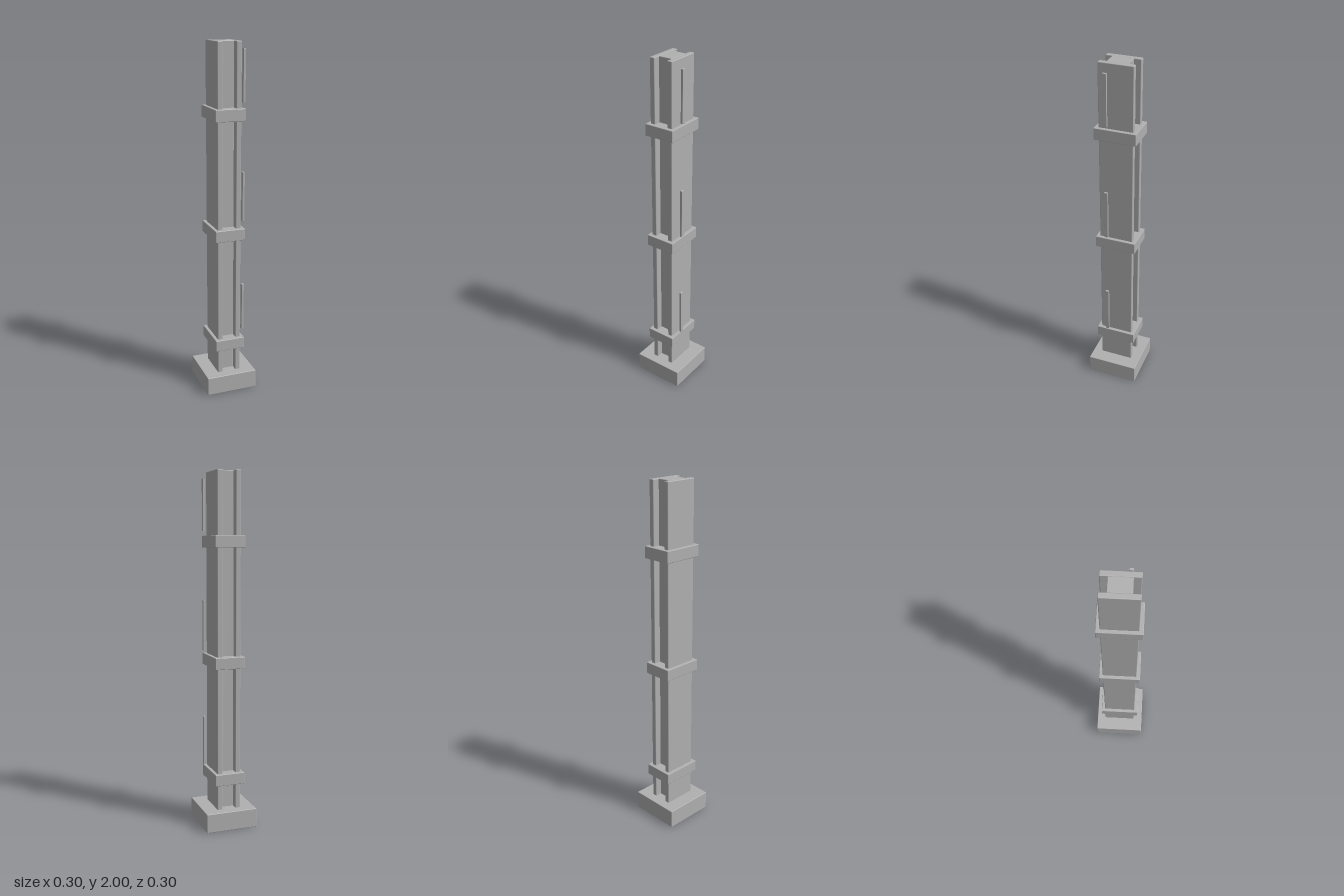
import * as THREE from 'three';
import { RoundedBoxGeometry } from 'three/addons/geometries/RoundedBoxGeometry.js';

export function createModel() {
  const group = new THREE.Group();
  group.name = 'column';
  const steel = new THREE.MeshStandardMaterial({ color: 0xb0b0b0 });
  steel.name = 'grey steel';

  // Box with slightly eased edges, placed by its centre
  const addBlock = (name, w, h, d, x, y, z, bevel = 0.003) => {
    const mesh = new THREE.Mesh(new RoundedBoxGeometry(w, h, d, 2, bevel), steel);
    mesh.name = name;
    mesh.position.set(x, y, z);
    group.add(mesh);
  };

  // Square footing
  addBlock('base', 0.298, 0.108, 0.298, 0, 0.054, 0);

  // H-shaped shaft: thick core between two wide flanges
  const bottom = 0.09, top = 2;
  const height = top - bottom, middle = (top + bottom) / 2;
  addBlock('core', 0.08, height, 0.115, 0, middle, 0);
  for (const side of [-1, 1]) {
    addBlock(side > 0 ? 'leftFlange' : 'rightFlange', 0.029, height, 0.191, side * 0.0535, middle, 0, 0.004);
  }

  // Three evenly spaced collars, each with a thin rod above it on the left side
  for (let i = 0; i < 3; i++) {
    const y = 0.287 + i * 0.6665;
    addBlock('collar' + (i + 1), 0.173, 0.066, 0.233, 0, y, 0);
    addBlock('sideRod' + (i + 1), 0.0125, 0.283, 0.021, 0.1, y + 0.198, 0.045, 0.001);
  }

  return group;
}
